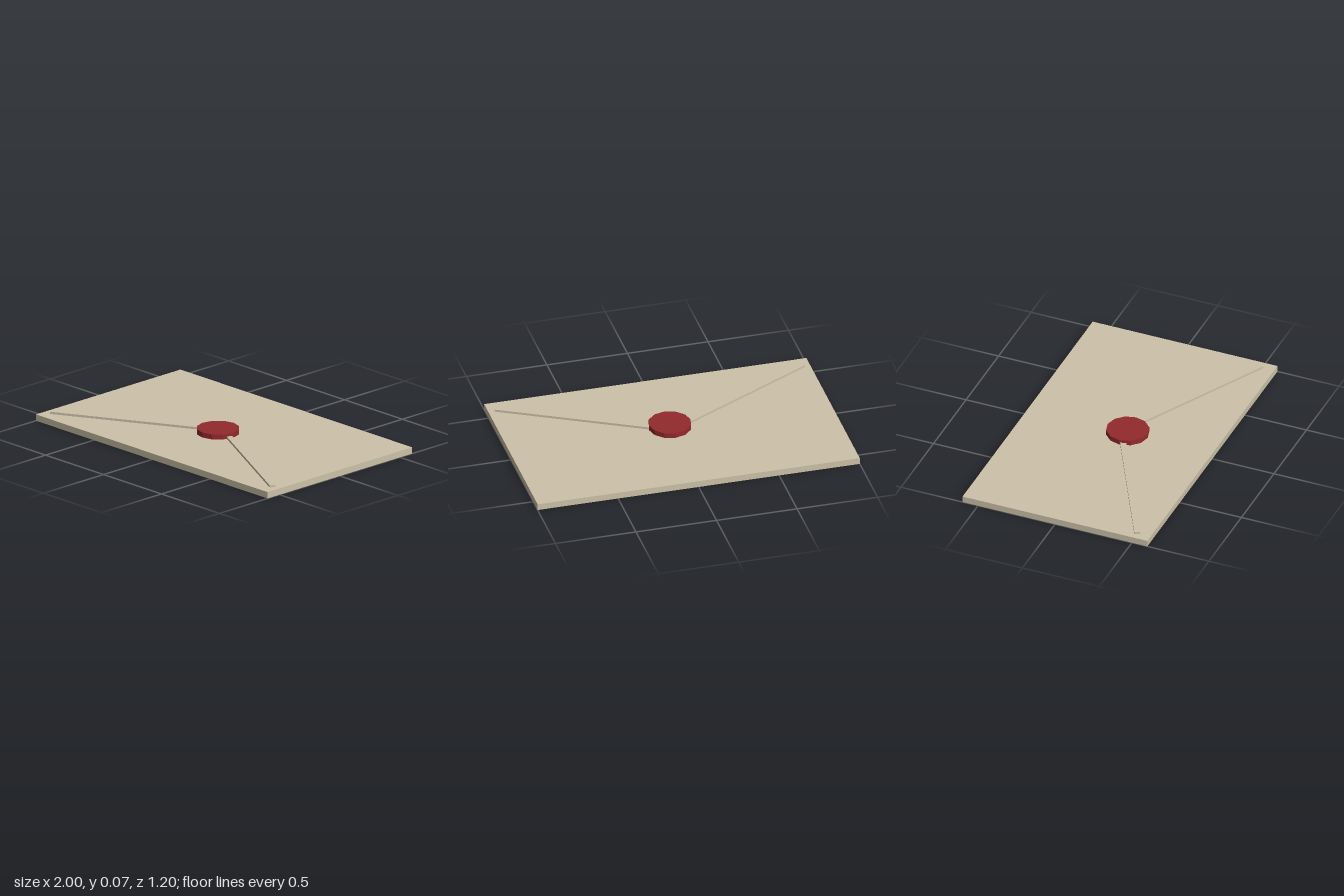
import * as THREE from 'three';

export function createModel() {
  const paper = new THREE.MeshStandardMaterial({ color: 0xcdc2a9 });
  paper.name = 'paper';
  const wax = new THREE.MeshStandardMaterial({ color: 0x942a2d, flatShading: true });
  wax.name = 'red wax';

  const group = new THREE.Group();
  group.name = 'sealedEnvelope';
  const add = (name, geometry, material, x, y, z) => {
    const mesh = new THREE.Mesh(geometry, material);
    mesh.name = name;
    mesh.position.set(x, y, z);
    group.add(mesh);
    return mesh;
  };

  // Flat envelope body
  add('envelopeBody', new THREE.BoxGeometry(2, 0.04, 1.2), paper, 0, 0.02, 0);

  // Raised flap folds, running from under the seal to the front corners
  const inner = new THREE.Vector2(0.04, 0.029);
  const outer = new THREE.Vector2(0.955, 0.516);
  const along = outer.clone().sub(inner);
  const middle = inner.clone().add(outer).multiplyScalar(0.5);
  for (const side of [1, -1]) {
    const fold = add(side > 0 ? 'leftFlapFold' : 'rightFlapFold',
      new THREE.BoxGeometry(along.length(), 0.015, 0.036), paper,
      side * middle.x, 0.0465, middle.y);
    fold.rotation.y = -side * along.angle();
  }

  // Faceted wax seal
  add('waxSeal', new THREE.CylinderGeometry(0.13, 0.13, 0.032, 12), wax, 0, 0.056, 0.05);

  return group;
}
